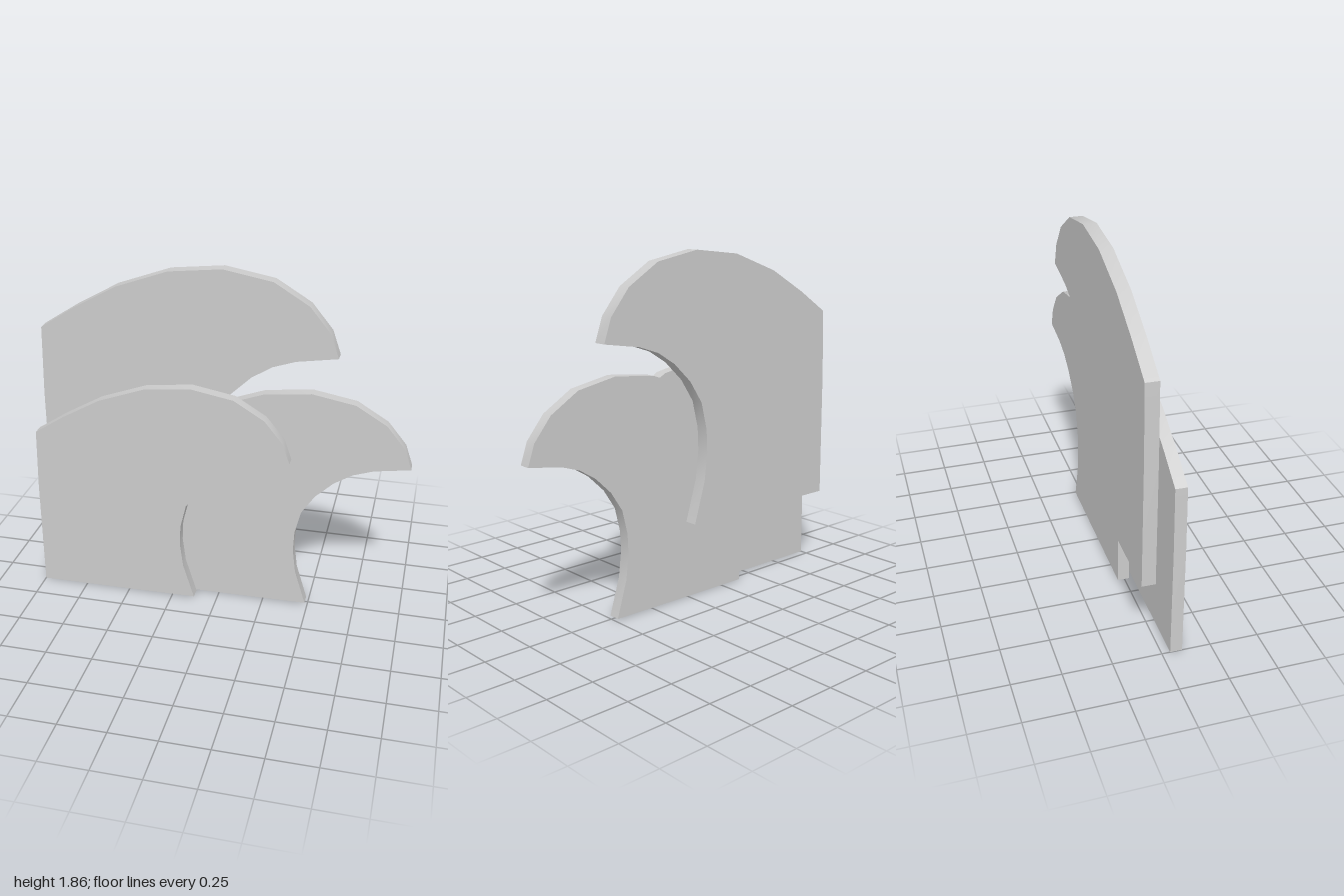
import * as THREE from 'three';
import { toCreasedNormals } from 'three/addons/utils/BufferGeometryUtils.js';

// Wave outline, origin at its lower left corner
const OUTLINE = [
  [0, 0], [0.48, 0.003], [0.875, 0.008],
  // hollow under the crest
  [0.816, 0.205], [0.8, 0.34], [0.805, 0.45], [0.837, 0.58], [0.906, 0.685],
  [1, 0.775], [1.094, 0.834], [1.2, 0.87], [1.388, 0.9],
  // crest and back of the wave
  [1.35, 1.01], [1.254, 1.128], [1.093, 1.226], [0.867, 1.267], [0.622, 1.24],
  [0.377, 1.152], [0.178, 1.04], [0.013, 0.933], [0.003, 0.6],
];
const THICKNESS = 0.061;

function createWaveGeometry() {
  const shape = new THREE.Shape(OUTLINE.map(([x, y]) => new THREE.Vector2(x, y)));
  const geometry = new THREE.ExtrudeGeometry(shape, { depth: THICKNESS, bevelEnabled: false });
  return toCreasedNormals(geometry, 0.65);
}

export function createModel() {
  const group = new THREE.Group();
  group.name = 'waves';
  const geometry = createWaveGeometry();
  const material = new THREE.MeshStandardMaterial({ color: 0xcccccc });

  // Three flat waves, layered from front to back
  const waves = [
    { name: 'frontWave', position: [-1, 0, 0.043], scale: 1 },
    { name: 'middleWave', position: [-0.39, 0, -0.036], scale: 1 },
    { name: 'backWave', position: [-0.983, 0.418, -0.105], scale: 1.138 },
  ];
  for (const { name, position, scale } of waves) {
    const wave = new THREE.Mesh(geometry, material);
    wave.name = name;
    wave.position.set(...position);
    wave.scale.setScalar(scale);
    group.add(wave);
  }
  return group;
}
